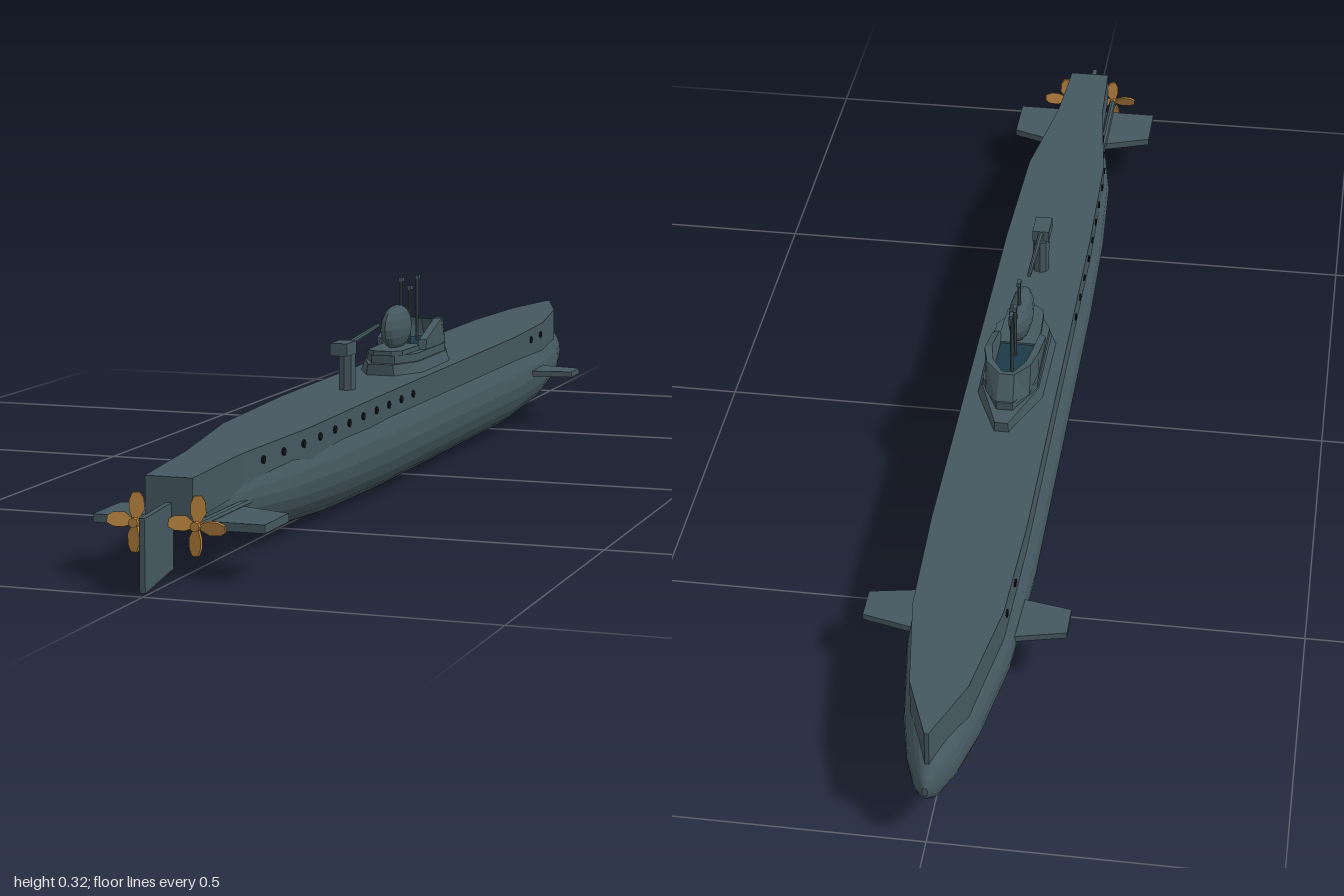
import * as THREE from 'three';

const paint = (name, color) => {
  const m = new THREE.MeshStandardMaterial({ color });
  m.name = name;
  return m;
};

// Faceted skin through a list of rings; rings run counter-clockwise seen from the first end.
function loft(rings) {
  const n = rings[0].length, pos = rings.flat(2), idx = [];
  for (let s = 0; s < rings.length - 1; s++) {
    for (let i = 0; i < n; i++) {
      const a = s * n + i, b = s * n + (i + 1) % n;
      idx.push(a, a + n, b, b, a + n, b + n);
    }
  }
  const end = (rings.length - 1) * n;
  for (let i = 1; i < n - 1; i++) idx.push(0, i, i + 1, end, end + i + 1, end + i);
  const g = new THREE.BufferGeometry();
  g.setAttribute('position', new THREE.Float32BufferAttribute(pos, 3));
  g.setIndex(idx);
  return flat(g);
}

function flat(g) {
  const f = g.index ? g.toNonIndexed() : g;
  f.computeVertexNormals();
  return f;
}

// Symmetric plan outline [x, z] from its right half, listed from +z to -z.
const mirrored = half => [...half, ...half.map(([x, z]) => [-x, z]).reverse()];
const slab = (half, y0, y1, topScale = 1) => loft([
  mirrored(half).map(([x, z]) => [x * topScale, y1, z]),
  mirrored(half).map(([x, z]) => [x, y0, z]),
]);

export function createModel() {
  const grey = paint('hull grey', 0x44575f);
  const brass = paint('propeller bronze', 0xb07d3c);
  const black = paint('opening black', 0x0e1519);
  const teal = paint('bridge floor teal', 0x1d3a48);

  const model = new THREE.Group();
  model.name = 'submarine';
  const add = (name, geometry, material, x = 0, y = 0, z = 0, parent = model) => {
    const mesh = new THREE.Mesh(geometry, material);
    mesh.name = name;
    mesh.position.set(x, y, z);
    parent.add(mesh);
    return mesh;
  };
  const box = (w, h, d) => new THREE.BoxGeometry(w, h, d);
  const rod = (r, h, n = 8) => flat(new THREE.CylinderGeometry(r, r, h, n));

  // Pressure hull: z, half width, half height, centre height
  const hull = [
    [0.91, 0.01, 0.016, 0.092], [0.87, 0.027, 0.026, 0.094], [0.75, 0.047, 0.05, 0.088],
    [0.6, 0.073, 0.069, 0.086], [0.42, 0.083, 0.079, 0.084], [0.2, 0.087, 0.083, 0.083],
    [-0.5, 0.087, 0.083, 0.083], [-0.7, 0.078, 0.073, 0.085], [-0.85, 0.056, 0.06, 0.088],
    [-0.93, 0.038, 0.048, 0.092], [-0.975, 0.022, 0.034, 0.095], [-0.993, 0.011, 0.019, 0.096],
    [-1, 0.004, 0.008, 0.096],
  ];
  add('pressureHull', loft(hull.map(([z, rx, ry, cy]) => Array.from({ length: 24 }, (_, i) => {
    const a = i / 24 * Math.PI * 2;
    return [rx * Math.cos(a), cy + ry * Math.sin(a), z];
  }))), grey);

  // Deck casing: z, half width, top, bottom
  const deck = [
    [0.91, 0.035, 0.147, 0.088], [0.75, 0.042, 0.155, 0.1], [0.55, 0.068, 0.163, 0.11],
    [0.3, 0.073, 0.168, 0.12], [-0.5, 0.073, 0.171, 0.12], [-0.7, 0.067, 0.174, 0.12],
    [-0.87, 0.042, 0.179, 0.122], [-0.977, 0.003, 0.184, 0.122],
  ];
  add('deckCasing', loft(deck.map(([z, w, t, b]) =>
    [[w, b, z], [w, t, z], [-w, t, z], [-w, b, z]])), grey);

  // Drain openings along both sides of the casing
  const deckAt = z => {
    const i = deck.findIndex((s, k) => z <= s[0] && z >= deck[k + 1][0]);
    const [a, b] = [deck[i], deck[i + 1]], t = (a[0] - z) / (a[0] - b[0]);
    return a.map((v, k) => v + (b[k] - v) * t);
  };
  const openings = [-0.61, -0.68];
  for (let i = 0; i < 11; i++) openings.push(0.69 - i * 0.06);
  for (const z of openings) {
    const [, w, top] = deckAt(z);
    for (const side of [-1, 1]) {
      add('drainOpening', rod(0.006, 0.005), black, side * w, top - 0.02, z).rotation.z = Math.PI / 2;
    }
  }

  // Diving planes and rudder
  add('sternPlanes', slab([[0.03, 0.88], [0.127, 0.88], [0.127, 0.79], [0.03, 0.755]], 0.071, 0.083), grey);
  add('bowPlanes', slab([[0.03, -0.572], [0.153, -0.595], [0.153, -0.648], [0.03, -0.678]], 0.088, 0.098), grey);
  const rudder = [[1, 0.005], [0.905, 0.02], [0.905, 0.112], [1, 0.106]];
  add('rudder', loft([0.004, -0.004].map(x => rudder.map(([z, y]) => [x, y, z]))), grey);

  // Twin shafts and four-bladed propellers
  const blade = new THREE.Shape([[-0.004, 0.004], [0.004, 0.004], [0.012, 0.018], [0.01, 0.034],
    [0.004, 0.042], [-0.006, 0.041], [-0.01, 0.03], [-0.009, 0.016]].map(p => new THREE.Vector2(...p)));
  const bladeGeo = new THREE.ExtrudeGeometry(blade, { depth: 0.004, bevelEnabled: false });
  bladeGeo.translate(0, 0, -0.002).rotateY(0.35);
  for (const side of [-1, 1]) {
    add('propellerShaft', rod(0.006, 0.2), grey, side * 0.044, 0.084, 0.82).rotation.x = Math.PI / 2;
    const propeller = new THREE.Group();
    propeller.name = 'propeller';
    propeller.position.set(side * 0.045, 0.084, 0.92);
    model.add(propeller);
    add('hub', rod(0.007, 0.018), brass, 0, 0, 0, propeller).rotation.x = Math.PI / 2;
    for (let i = 0; i < 4; i++) {
      add('blade', bladeGeo, brass, 0, 0, 0, propeller).rotation.z = i * Math.PI / 2 - 0.06;
    }
  }

  // Conning tower base and aft platform
  add('towerSkirt', slab([[0.025, 0.04], [0.056, -0.02], [0.054, -0.17], [0.012, -0.27]], 0.165, 0.187, 0.85), grey);
  add('towerBase', slab([[0.02, 0.025], [0.044, -0.02], [0.044, -0.17], [0.013, -0.235]], 0.18, 0.2), grey);
  add('aftPlatform', slab([[0.015, 0.03], [0.03, 0.015], [0.034, -0.08]], 0.2, 0.208), grey);
  add('bridgeFloor', slab([[0.03, -0.075], [0.03, -0.17], [0.009, -0.215]], 0.2, 0.205), teal);

  // Open bridge wall: bottom x, z, top x, z, top height
  const wall = [
    [0.042, -0.07, 0.044, -0.07, 0.217], [0.043, -0.15, 0.044, -0.15, 0.244],
    [0.035, -0.2, 0.035, -0.185, 0.242], [0.013, -0.235, 0.012, -0.207, 0.236],
  ];
  const wallSection = side => ([xb, zb, xt, zt, y]) => {
    const s = [[xb, 0.195, zb], [xt, y, zt], [xt * 0.75, y, zt + 0.008], [xb * 0.65, 0.195, zb + 0.012]];
    return s.map(([x, h, z]) => [x * side, h, z]);
  };
  add('bridgeWall', loft([...wall.map(wallSection(1)), ...wall.map(wallSection(-1)).reverse()]), grey);

  // Rounded tower housing
  const housing = new THREE.SphereGeometry(1, 12, 8).scale(0.02, 0.037, 0.059);
  add('towerHousing', flat(housing), grey, 0, 0.24, -0.042);

  // Periscopes with small hooked heads
  for (const [z, top] of [[-0.065, 0.32], [-0.11, 0.302], [-0.152, 0.316]]) {
    add('periscope', rod(0.0028, top - 0.2), grey, 0, (top + 0.2) / 2, z);
    add('periscopeHead', box(0.006, 0.007, 0.013), grey, 0, top - 0.0035, z - 0.003);
  }

  // Deck gun
  add('gunPedestal', rod(0.014, 0.065), grey, 0, 0.195, 0.2);
  add('gunBreech', box(0.028, 0.02, 0.046), grey, 0, 0.236, 0.217);
  const barrel = flat(new THREE.CylinderGeometry(0.0035, 0.005, 0.15, 8));
  add('gunBarrel', barrel, grey, 0, 0.246, 0.125).rotation.x = -Math.PI / 2 + 0.09;

  return model;
}
